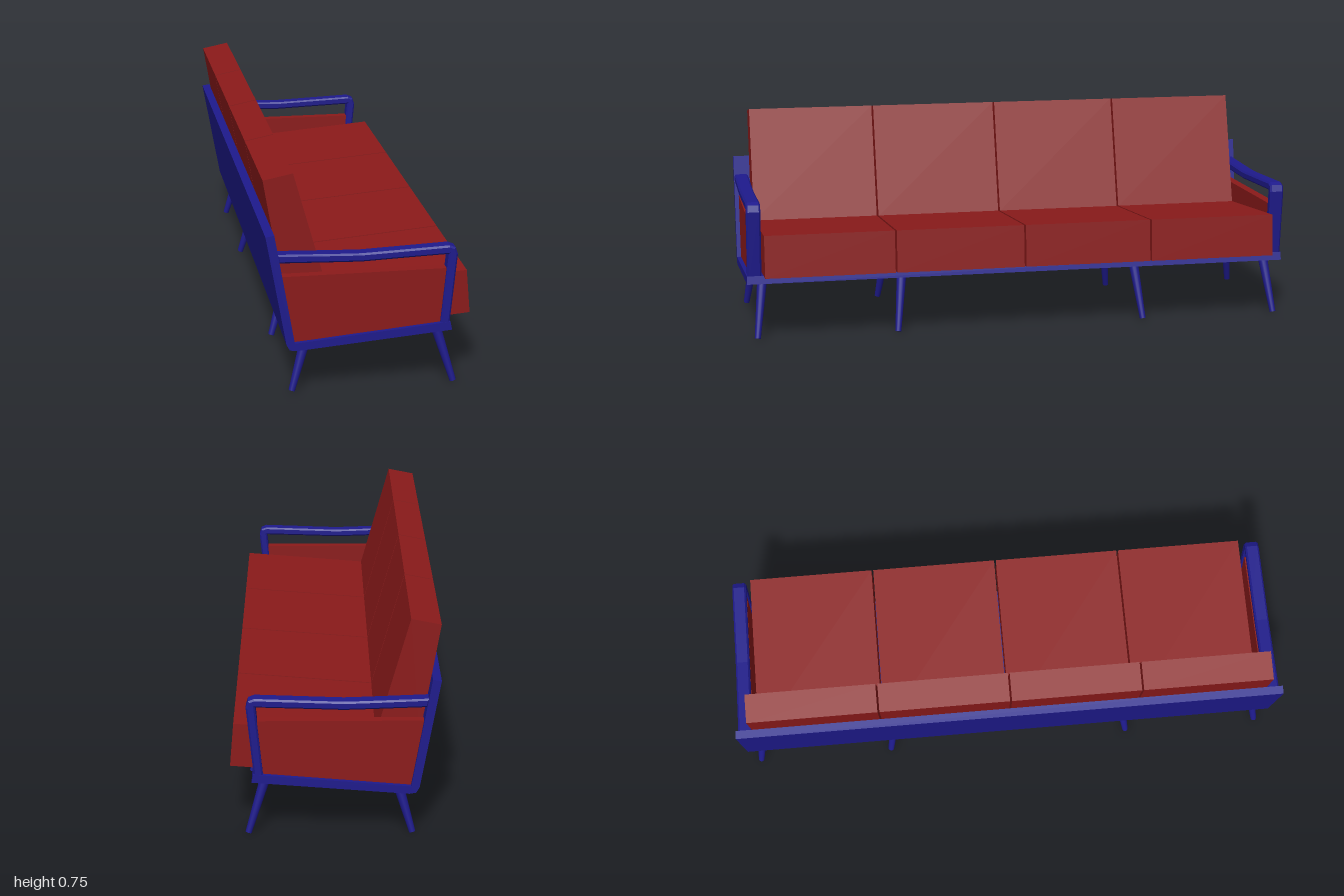
import * as THREE from 'three';

const red = new THREE.MeshStandardMaterial({ color: 0x8b1a1a });
const blue = new THREE.MeshStandardMaterial({ color: 0x1e1a8c });

// Side profile (x, y) swept along z from z0 to z1, with an optional chamfer
function slab(name, points, z0, z1, material, bevel = 0) {
  const shape = new THREE.Shape(points.map(([x, y]) => new THREE.Vector2(x, y)));
  const geometry = new THREE.ExtrudeGeometry(shape, {
    depth: z1 - z0 - 2 * bevel,
    bevelEnabled: bevel > 0,
    bevelSize: bevel,
    bevelThickness: bevel,
    bevelOffset: -bevel,
    bevelSegments: 1,
  });
  geometry.translate(0, 0, z0 + bevel);
  const mesh = new THREE.Mesh(geometry, material);
  mesh.name = name;
  return mesh;
}

// Tapered round leg between two points
function leg(name, top, foot) {
  const axis = top.clone().sub(foot);
  const mesh = new THREE.Mesh(new THREE.CylinderGeometry(0.018, 0.011, axis.length(), 16), blue);
  mesh.position.copy(top).add(foot).multiplyScalar(0.5);
  mesh.quaternion.setFromUnitVectors(new THREE.Vector3(0, 1, 0), axis.normalize());
  mesh.name = name;
  return mesh;
}

export function createModel() {
  const sofa = new THREE.Group();
  sofa.name = 'sofa';

  // Back board and base board in one bent shell
  sofa.add(slab('frameShell', [
    [-0.35, 0.56], [-0.283, 0.18], [-0.272, 0.161], [-0.25, 0.157],
    [0.277, 0.2], [0.271, 0.229], [-0.255, 0.184], [-0.321, 0.565],
  ], -1, 1, blue));

  // Armrest with front post, and the upholstered panel below it
  const arm = [
    [-0.312, 0.496], [-0.1, 0.488], [-0.03, 0.486], [0.08, 0.49], [0.265, 0.497],
    [0.285, 0.489], [0.293, 0.465], [0.268, 0.21], [0.237, 0.21], [0.262, 0.467],
    [0.08, 0.461], [-0.03, 0.457], [-0.1, 0.459], [-0.307, 0.466],
  ];
  const panel = [[-0.258, 0.18], [-0.3, 0.415], [0.262, 0.415], [0.245, 0.22]];
  for (const side of [1, -1]) {
    const label = side > 0 ? 'left' : 'right';
    const span = (a, b) => (side > 0 ? [a, b] : [-b, -a]);
    sofa.add(slab(label + 'Armrest', arm, ...span(0.947, 0.998), blue, 0.006));
    sofa.add(slab(label + 'ArmPanel', panel, ...span(0.952, 0.985), red));
  }

  // Four pairs of seat and back cushions
  const seat = [[-0.255, 0.186], [-0.281, 0.336], [0.337, 0.388], [0.35, 0.236]];
  const back = [[-0.35, 0.735], [-0.25, 0.755], [-0.136, 0.346], [-0.282, 0.335]];
  for (let i = 0; i < 4; i++) {
    const z = (i - 1.5) * 0.472;
    sofa.add(slab('seatCushion' + (i + 1), seat, z - 0.2325, z + 0.2325, red));
    sofa.add(slab('backCushion' + (i + 1), back, z - 0.2325, z + 0.2325, red));
  }

  // Two rows of four splayed legs
  for (const side of [1, -1]) {
    for (const [topZ, footZ] of [[0.943, 0.968], [0.437, 0.46]]) {
      sofa.add(leg('frontLeg',
        new THREE.Vector3(0.229, 0.205, side * topZ), new THREE.Vector3(0.29, 0.004, side * footZ)));
      sofa.add(leg('backLeg',
        new THREE.Vector3(-0.213, 0.17, side * topZ), new THREE.Vector3(-0.262, 0.004, side * footZ)));
    }
  }
  return sofa;
}
